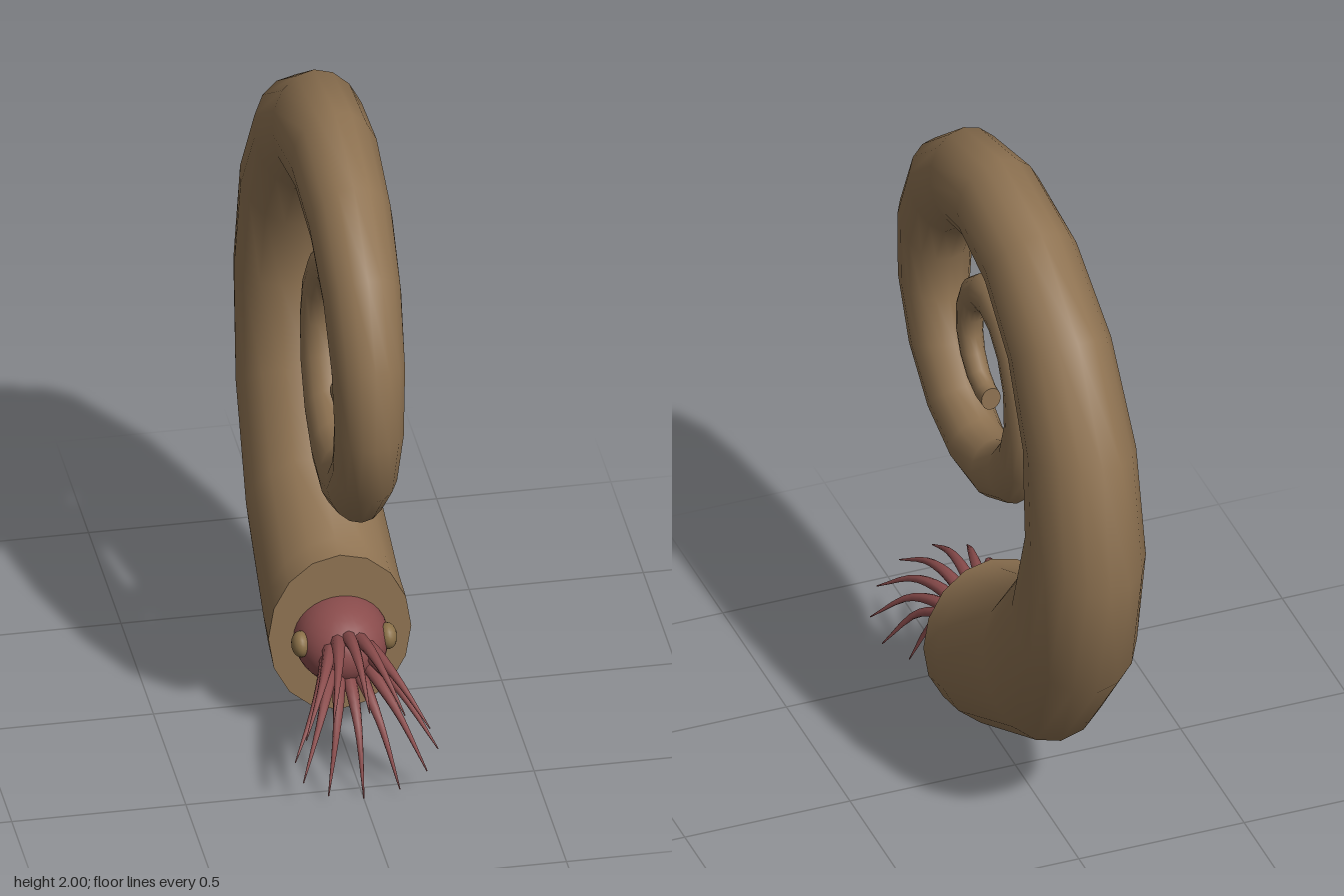
import * as THREE from 'three';

const SIDES = 16;

// Skin a list of rings {c, a, b} (centre and two half-axes, a x b pointing along the path), with flat end caps
function loft(rings, sides) {
  const pos = [], idx = [];
  const addRing = (r) => {
    const first = pos.length / 3;
    for (let j = 0; j < sides; j++) {
      const t = (j / sides) * Math.PI * 2;
      const p = r.c.clone().addScaledVector(r.a, Math.cos(t)).addScaledVector(r.b, Math.sin(t));
      pos.push(p.x, p.y, p.z);
    }
    return first;
  };
  rings.forEach(addRing);
  for (let i = 0; i < rings.length - 1; i++) {
    for (let j = 0; j < sides; j++) {
      const k = (j + 1) % sides;
      const p = i * sides, q = p + sides;
      idx.push(p + j, p + k, q + j, p + k, q + k, q + j);
    }
  }
  // caps use their own vertices so that the rim stays sharp
  [rings[0], rings[rings.length - 1]].forEach((r, end) => {
    const f = addRing(r), m = pos.length / 3;
    pos.push(r.c.x, r.c.y, r.c.z);
    for (let j = 0; j < sides; j++) {
      const k = (j + 1) % sides;
      if (end) idx.push(m, f + j, f + k);
      else idx.push(m, f + k, f + j);
    }
  });
  const g = new THREE.BufferGeometry();
  g.setAttribute('position', new THREE.Float32BufferAttribute(pos, 3));
  g.setIndex(idx);
  g.computeVertexNormals();
  return g;
}

// Two whorls of a logarithmic spiral, from the aperture inwards
function shellGeometry() {
  const angles = [0];
  for (let d = 6; d < 720; d += 24) angles.push(d);
  angles.push(720);
  const rings = angles.map((d) => {
    const t = THREE.MathUtils.degToRad(d);
    const R = 0.937 * Math.pow(2.66, -d / 360);
    const out = new THREE.Vector3(0, -Math.cos(t), -Math.sin(t));
    return {
      c: new THREE.Vector3(0, 1.267, 0.19).addScaledVector(out, R),
      a: out.clone().multiplyScalar(0.272 * R),
      b: new THREE.Vector3(-0.219 * R, 0, 0),
    };
  });
  return loft(rings, SIDES);
}

// Tapered arm along a smooth curve
function armGeometry(points, radius) {
  const curve = new THREE.CatmullRomCurve3(points);
  const n = 10;
  const rings = [];
  for (let i = 0; i <= n; i++) {
    const u = i / n;
    const T = curve.getTangent(u);
    const a = new THREE.Vector3(0, 1, 0).addScaledVector(T, -T.y).normalize();
    const b = T.clone().cross(a);
    const r = radius * (1 - 0.92 * Math.pow(u, 1.4));
    rings.push({ c: curve.getPoint(u), a: a.multiplyScalar(r), b: b.multiplyScalar(r) });
  }
  return loft(rings, 8);
}

export function createModel() {
  const shellMat = new THREE.MeshStandardMaterial({ name: 'shell brown', color: 0x8f7352 });
  const fleshMat = new THREE.MeshStandardMaterial({ name: 'flesh red', color: 0x8a4c4c });
  const eyeMat = new THREE.MeshStandardMaterial({ name: 'eye ochre', color: 0x8a7048 });

  const model = new THREE.Group();
  const add = (name, geometry, material, parent = model) => {
    const m = new THREE.Mesh(geometry, material);
    m.name = name;
    parent.add(m);
    return m;
  };

  add('shell', shellGeometry(), shellMat);

  // Head bulging out of the aperture
  const head = add('head', new THREE.SphereGeometry(1, 24, 16), fleshMat);
  head.scale.set(0.135, 0.125, 0.17);
  head.position.set(0, 0.325, 0.2);

  for (const s of [1, -1]) {
    const eye = add(s > 0 ? 'leftEye' : 'rightEye', new THREE.SphereGeometry(0.038, 16, 12), eyeMat);
    eye.scale.x = 0.7;
    eye.position.set(s * 0.125, 0.345, 0.257);
  }

  // Siphon below the head
  const siphon = add('siphon', new THREE.CylinderGeometry(0.022, 0.04, 0.1, 12), fleshMat);
  siphon.rotation.x = Math.PI / 2 + 0.15;
  siphon.position.set(0, 0.235, 0.265);

  // Crown of drooping arms
  const arms = new THREE.Group();
  arms.name = 'arms';
  model.add(arms);
  const count = 12;
  for (let i = 0; i < count; i++) {
    const t = (i / count) * Math.PI * 2 - Math.PI / 2;
    const c = Math.cos(t), s = Math.sin(t);
    add('arm', armGeometry([
      new THREE.Vector3(0.055 * c, 0.33 + 0.055 * s, 0.3),
      new THREE.Vector3(0.085 * c, 0.325 + 0.085 * s, 0.4),
      new THREE.Vector3(0.13 * c, 0.285 + 0.115 * s, 0.5 + 0.015 * s),
      new THREE.Vector3(0.205 * c, 0.17 + 0.168 * s, 0.605 + 0.045 * s),
    ], 0.022), fleshMat, arms);
  }
  return model;
}
